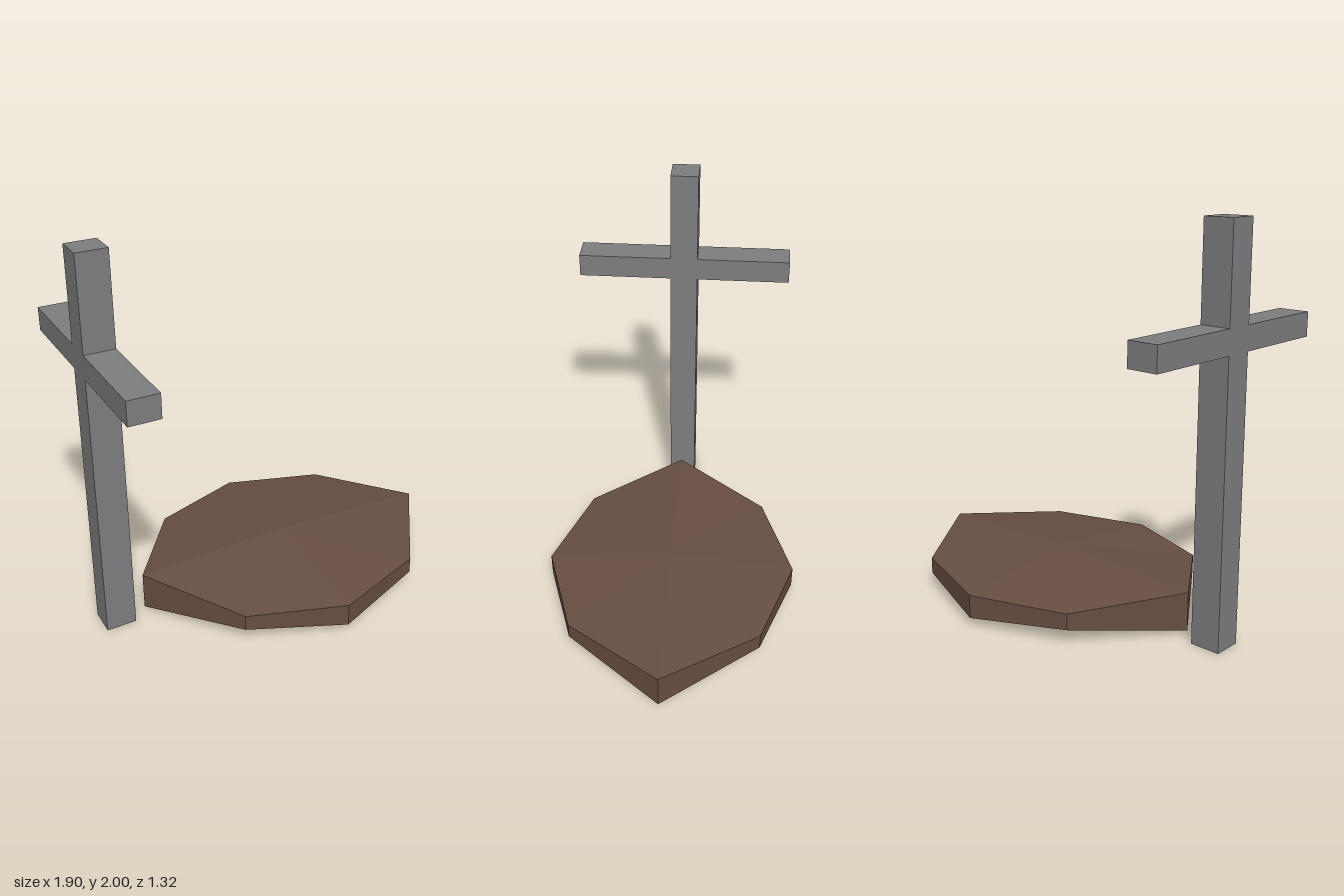
import * as THREE from 'three';

export function createModel() {
  const model = new THREE.Group();
  const stone = new THREE.MeshStandardMaterial({ color: 0x7e7e80, flatShading: true });
  stone.name = 'grey stone';
  const earth = new THREE.MeshStandardMaterial({ color: 0x674e42, flatShading: true, side: THREE.DoubleSide });
  earth.name = 'brown earth';

  // Grave marker: a cross outline extruded through its thickness along x
  const post = 0.0725, arm = 0.567, armLow = 1.41, armHigh = 1.53, top = 2, depth = 0.155;
  const half = [[post, 0], [post, armLow], [arm, armLow], [arm, armHigh], [post, armHigh], [post, top]];
  const outline = [...half, ...half.map(([z, y]) => [-z, y]).reverse()];
  const shape = new THREE.Shape(outline.map(([z, y]) => new THREE.Vector2(z, y)));
  const crossGeometry = new THREE.ExtrudeGeometry(shape, { depth, bevelEnabled: false });
  crossGeometry.rotateY(Math.PI / 2);
  const cross = new THREE.Mesh(crossGeometry, stone);
  cross.name = 'cross';
  cross.position.x = -0.95;
  model.add(cross);

  // Earth mound: eight-sided open shell. Rim rows are x, z, top y, bottom y.
  const front = [[-0.38, 0.49, 0.162, 0.08], [0.115, 0.66, 0.16, 0.04], [0.61, 0.49, 0.164, 0.08]];
  const back = front.map(([x, z, t, b]) => [x, -z, t, b]).reverse();
  const rim = [[-0.717, 0, 0.212, 0.013], ...front, [0.95, 0, 0.196, 0.012], ...back];
  const positions = [0.115, 0.235, 0];
  const index = [];
  rim.forEach(([x, z, t, b], i) => {
    positions.push(x, t, z, x, b, z);
    const a = 1 + 2 * i, c = 1 + 2 * ((i + 1) % rim.length);
    index.push(0, a, c); // roof
    index.push(a, a + 1, c + 1, a, c + 1, c); // side wall
  });
  const moundGeometry = new THREE.BufferGeometry();
  moundGeometry.setAttribute('position', new THREE.Float32BufferAttribute(positions, 3));
  moundGeometry.setIndex(index);
  const flatMound = moundGeometry.toNonIndexed();
  flatMound.computeVertexNormals();
  const mound = new THREE.Mesh(flatMound, earth);
  mound.name = 'mound';
  model.add(mound);

  return model;
}
